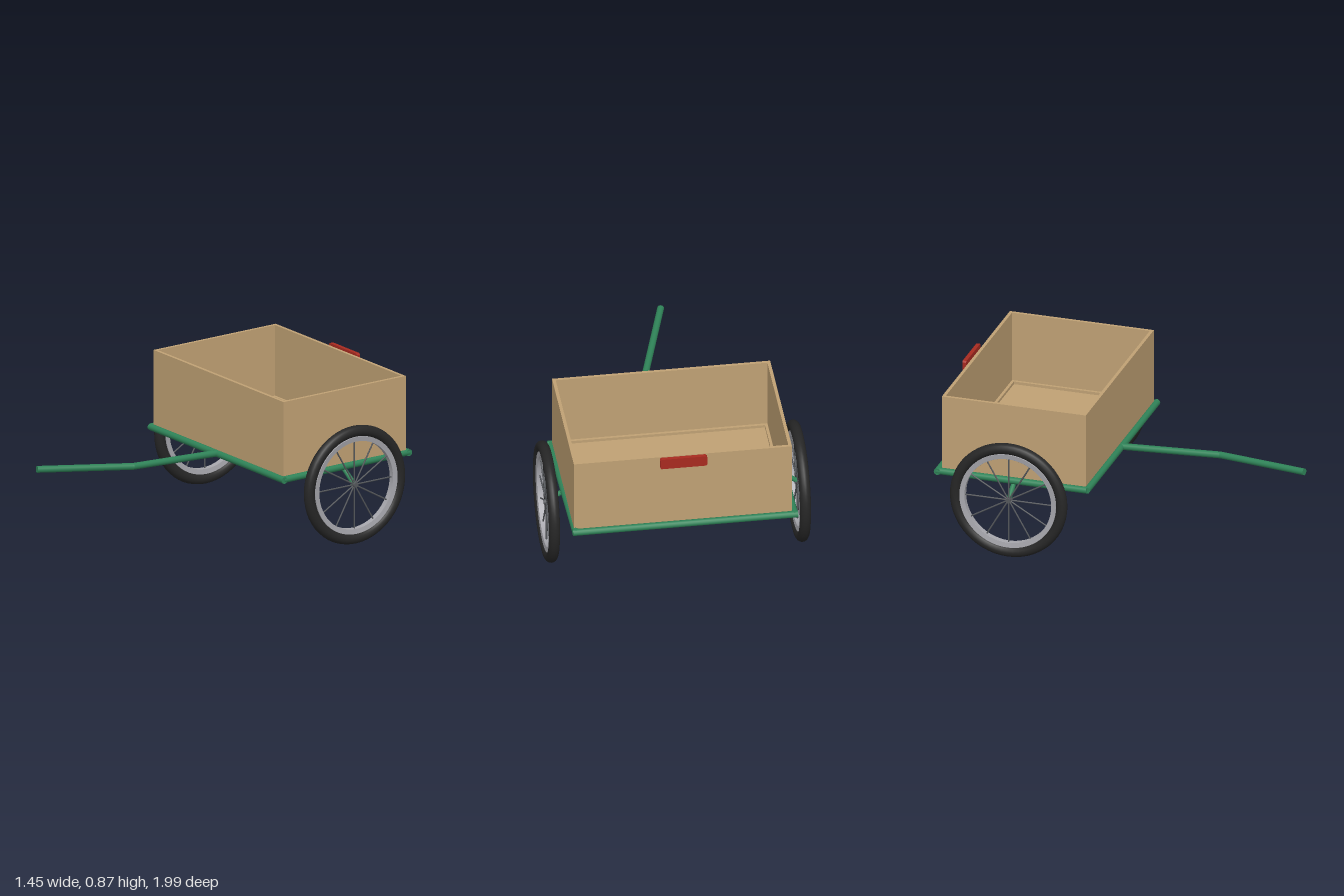
import * as THREE from 'three';

const mat = (name, color) => {
  const m = new THREE.MeshStandardMaterial({ color });
  m.name = name;
  return m;
};

export function createModel() {
  const cart = new THREE.Group();
  cart.name = 'handCart';
  const wood = mat('plywood', 0xc0a174);
  const green = mat('greenPaint', 0x2f8358);
  const rubber = mat('blackRubber', 0x262626);
  const steel = mat('rimSteel', 0xa6a6ac);
  const spokeGrey = mat('spokeGrey', 0x55585c);
  const red = mat('reflectorRed', 0xa82a20);

  const add = (parent, name, geometry, material, x = 0, y = 0, z = 0) => {
    const mesh = new THREE.Mesh(geometry, material);
    mesh.name = name;
    mesh.position.set(x, y, z);
    parent.add(mesh);
    return mesh;
  };
  const box = (name, w, h, d, x, y, z) =>
    add(cart, name, new THREE.BoxGeometry(w, h, d), wood, x, y, z);
  // Round bar between two points
  const bar = (parent, name, from, to, radius, material, sides = 14) => {
    const a = new THREE.Vector3(...from), b = new THREE.Vector3(...to);
    const dir = b.clone().sub(a);
    const mesh = add(parent, name, new THREE.CylinderGeometry(radius, radius, dir.length(), sides), material);
    mesh.position.copy(a).add(b).multiplyScalar(0.5);
    mesh.quaternion.setFromUnitVectors(new THREE.Vector3(0, 1, 0), dir.normalize());
    return mesh;
  };

  // Open wooden box: floor, four walls and a low ledge around the floor
  const zc = -0.545, W = 1.208, D = 0.83, t = 0.018, bottom = 0.425, top = 0.865;
  const h = top - bottom, yc = (top + bottom) / 2;
  box('floor', W - 2 * t, 0.02, D - 2 * t, 0, bottom + 0.01, zc);
  for (const s of [-1, 1]) {
    box('sideWall', t, h, D, s * (W - t) / 2, yc, zc);
    box('endWall', W - 2 * t, h, t, 0, yc, zc + s * (D - t) / 2);
    box('sideLedge', 0.016, 0.016, D - 2 * t, s * (W / 2 - t - 0.008), bottom + 0.028, zc);
    box('endLedge', W - 2 * t - 0.032, 0.016, 0.016, 0, bottom + 0.028, zc + s * (D / 2 - t - 0.008));
  }

  // Tubular frame under the box
  const fy = 0.423, r = 0.019;
  bar(cart, 'frontRail', [-0.62, fy, -0.12], [0.628, fy, -0.12], r, green);
  bar(cart, 'backRail', [-0.634, fy, -0.978], [0.612, fy, -0.978], r, green);
  bar(cart, 'rightRail', [-0.617, fy, -0.12], [-0.617, fy, -0.985], r, green);
  bar(cart, 'leftRail', [0.612, fy, -0.12], [0.596, fy, -0.985], r, green);

  // Bent pulling handle
  const bend = [0, 0.452, 0.45];
  bar(cart, 'handleShaft', [0, 0.425, -0.12], bend, r, green);
  bar(cart, 'handleGrip', bend, [-0.16, 0.492, 0.985], r, green);
  add(cart, 'handleBend', new THREE.SphereGeometry(r, 14, 10), green, ...bend);

  // Wheels with axle struts
  const wy = 0.34;
  const rimProfile = [[0.25, -0.016], [0.278, -0.02], [0.278, 0.02], [0.25, 0.016], [0.25, -0.016]]
    .map(([x, y]) => new THREE.Vector2(x, y));
  // Doubled points keep the rim edges sharp
  const rimGeometry = new THREE.LatheGeometry(rimProfile.flatMap(
    (p, i) => i < rimProfile.length - 1 ? [p, p.clone().lerp(rimProfile[i + 1], 0.02), p.clone().lerp(rimProfile[i + 1], 0.98)] : [p]), 56);
  for (const s of [-1, 1]) {
    const wheel = new THREE.Group();
    wheel.name = s > 0 ? 'leftWheel' : 'rightWheel';
    wheel.position.set(s * 0.695, wy, zc);
    cart.add(wheel);
    add(wheel, 'tire', new THREE.TorusGeometry(0.306, 0.031, 16, 56), rubber).rotation.y = Math.PI / 2;
    const rim = add(wheel, 'rim', rimGeometry, steel);
    rim.rotation.z = Math.PI / 2;
    rim.material.side = THREE.DoubleSide;
    for (let i = 0; i < 12; i++) {
      const a = i * Math.PI / 6;
      bar(wheel, 'spoke', [0, 0, 0], [0, 0.255 * Math.sin(a), 0.255 * Math.cos(a)], 0.0045, spokeGrey, 6);
    }
    bar(wheel, 'hub', [-0.016, 0, 0], [0.016, 0, 0], 0.014, spokeGrey);
    bar(cart, 'axleStrut', [s * 0.585, 0.415, zc], [s * 0.69, wy + 0.003, zc], 0.014, green);
  }

  // Rear reflector
  const plate = new THREE.Shape();
  const hw = 0.13, hh = 0.031, c = 0.008;
  plate.moveTo(-hw + c, -hh).lineTo(hw - c, -hh).lineTo(hw, -hh + c).lineTo(hw, hh - c)
    .lineTo(hw - c, hh).lineTo(-hw + c, hh).lineTo(-hw, hh - c).lineTo(-hw, -hh + c).closePath();
  add(cart, 'reflector', new THREE.ExtrudeGeometry(plate, { depth: 0.022, bevelEnabled: false }), red, 0, 0.84, -0.996);

  return cart;
}
